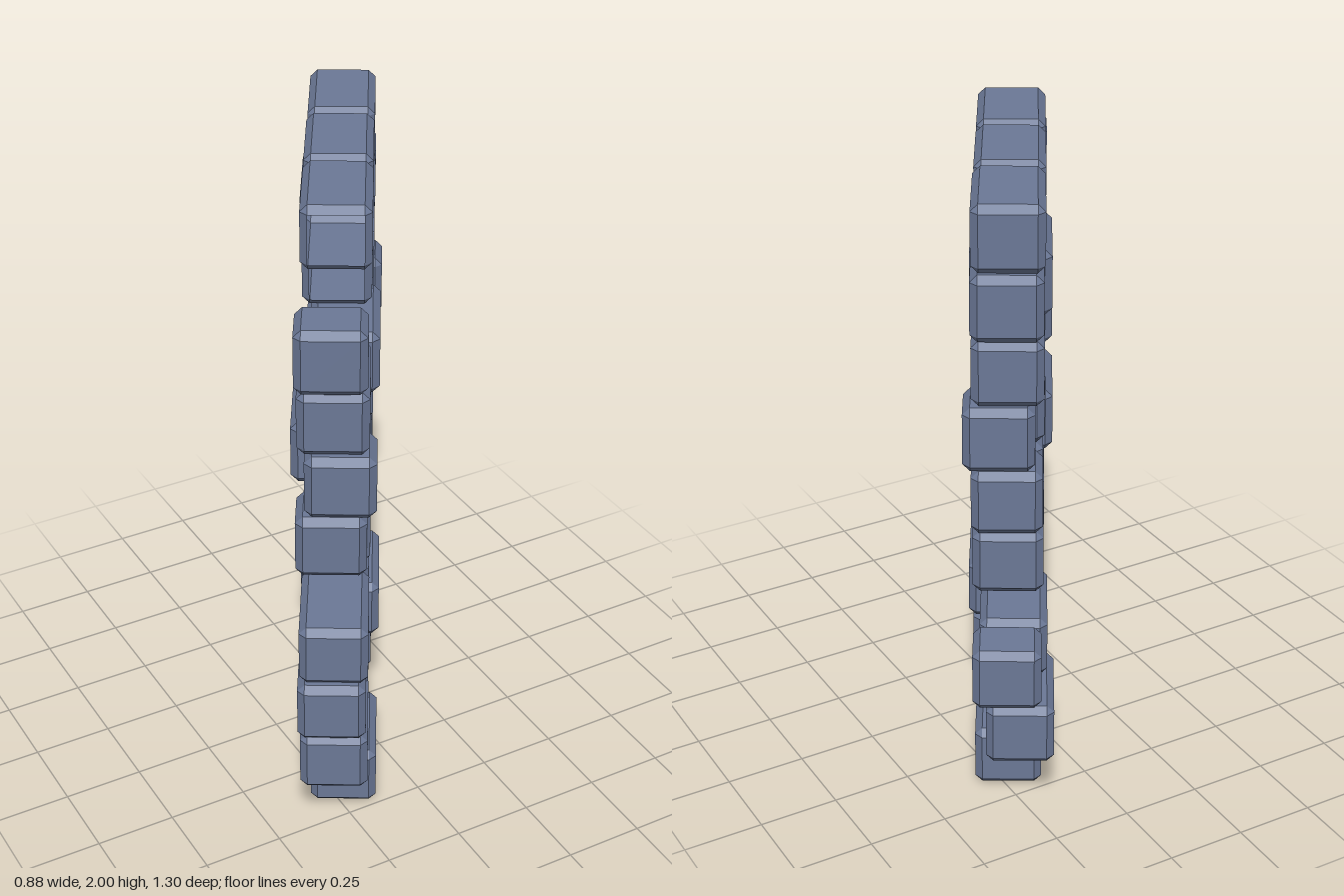
import * as THREE from 'three';

const PITCH = 0.342, FULL = 0.336, HALF = 0.176;
const H = 0.199, W = 0.205, C = 0.022;

const material = new THREE.MeshStandardMaterial({
  color: 0x6b7896, flatShading: true, side: THREE.DoubleSide,
});

// Chamfered brick along x; either end cap may be left open
function brickGeometry(length, openLow, openHigh) {
  const h = H / 2, w = W / 2, l = length / 2;
  const loop = (x, inset) => {
    const pts = [];
    for (const [sy, sz, flip] of [[1, 1, 0], [-1, 1, 1], [-1, -1, 0], [1, -1, 1]]) {
      const onY = [sy * (h - inset), sz * (w - C)]; // end of the top or bottom face
      const onZ = [sy * (h - C), sz * (w - inset)]; // end of the side face
      for (const [y, z] of flip ? [onZ, onY] : [onY, onZ]) pts.push(new THREE.Vector3(x, y, z));
    }
    return pts;
  };
  const loops = [loop(-l, C), loop(-l + C, 0), loop(l - C, 0), loop(l, C)];
  const pos = [];
  const tri = (a, b, c) => {
    if (new THREE.Triangle(a, b, c).getArea() < 1e-9) return;
    for (const p of [a, b, c]) pos.push(p.x, p.y, p.z);
  };
  for (let s = 0; s < 3; s++) {
    const a = loops[s], b = loops[s + 1];
    for (let i = 0; i < 8; i++) {
      const j = (i + 1) % 8;
      tri(a[i], a[j], b[j]);
      tri(a[i], b[j], b[i]);
    }
  }
  for (let i = 1; i < 7; i++) {
    if (!openLow) tri(loops[0][0], loops[0][i + 1], loops[0][i]);
    if (!openHigh) tri(loops[3][0], loops[3][i], loops[3][i + 1]);
  }
  const geo = new THREE.BufferGeometry();
  geo.setAttribute('position', new THREE.Float32BufferAttribute(pos, 3));
  geo.computeVertexNormals();
  return geo;
}

// Courses from the ground up. Each brick: [slot, sideways shift, open end].
// Even courses have four full slots; odd ones a half, three full, a half.
const courses = [
  { odd: true, bricks: [[1, 0.012, 'high'], [3, -0.009]] },
  { odd: false, bricks: [[0, -0.014], [1, -0.016], [3, -0.046]] },
  { odd: true, bricks: [[0, -0.02], [2, 0.016], [3, -0.025], [4, -0.007]] },
  { odd: false, bricks: [[0, -0.014], [1, -0.016]] },
  { odd: false, bricks: [[1, -0.012, 'low'], [2, -0.012], [3, -0.01]] },
  { odd: true, bricks: [[0, -0.02], [2, -0.038], [3, -0.008], [4, -0.007]] },
  { odd: true, bricks: [[0, 0.007], [1, -0.038], [3, -0.011, 'low'], [4, 0.016]] },
  { odd: false, bricks: [[0, -0.014], [1, 0.012, 'high'], [3, -0.009]] },
  { odd: true, bricks: [[0, -0.02], [2, -0.013, 'low'], [3, -0.03], [4, -0.007]] },
  { odd: false, bricks: [[1, -0.012, 'low'], [2, -0.012], [3, -0.01]] },
];

// Start and length of a slot along the wall
function slotSpan(odd, slot) {
  if (!odd) return [-0.684 + slot * PITCH, FULL];
  if (slot === 0) return [-0.699, HALF];
  return [-0.513 + (slot - 1) * PITCH, slot === 4 ? HALF : FULL];
}

export function createModel() {
  const model = new THREE.Group();
  model.name = 'brickWall';
  courses.forEach(({ odd, bricks }, row) => {
    const course = new THREE.Group();
    course.name = `course${row + 1}`;
    course.position.y = 0.1 + row * 0.2;
    for (const [slot, shift, open] of bricks) {
      const [start, length] = slotSpan(odd, slot);
      const brick = new THREE.Mesh(brickGeometry(length, open === 'low', open === 'high'), material);
      brick.name = length === FULL ? 'brick' : 'halfBrick';
      brick.position.set(start + length / 2, 0, shift);
      course.add(brick);
    }
    model.add(course);
  });
  // The wall stands turned about the vertical
  model.rotation.y = Math.PI / 3;
  return model;
}
